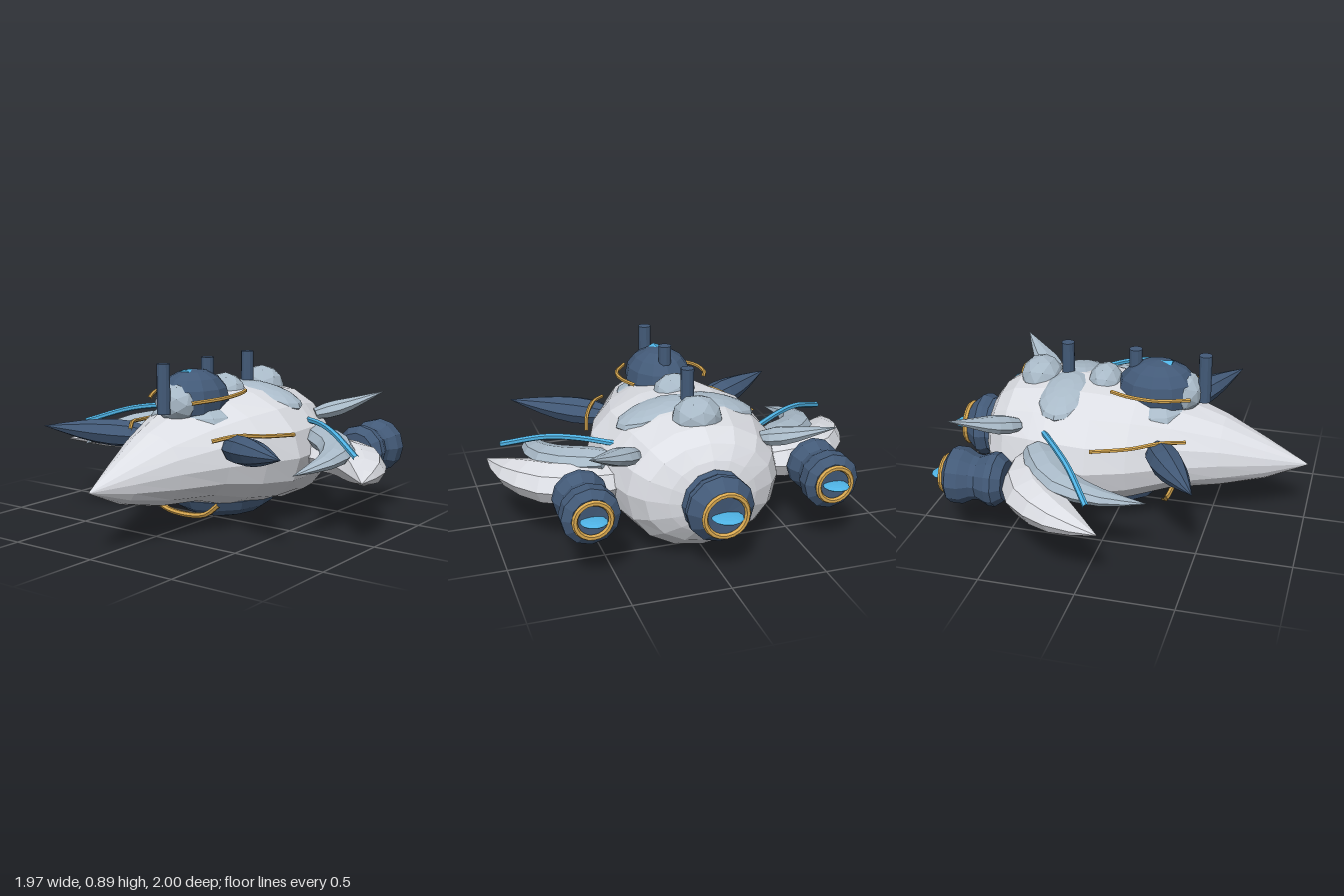
import * as THREE from 'three';

const mat = (color) => new THREE.MeshStandardMaterial({ color, flatShading: true });
const V = (p) => new THREE.Vector3(...p);

export function createModel() {
  const model = new THREE.Group();
  const grey = mat(0xdcdee4), pale = mat(0xa9bac8), dark = mat(0x435a78);
  const gold = mat(0xd8a850), cyan = mat(0x4fb4e6);

  function add(name, geometry, material, pos = [0, 0, 0], scale = [1, 1, 1]) {
    const mesh = new THREE.Mesh(geometry, material);
    mesh.name = name;
    mesh.position.set(...pos);
    mesh.scale.set(...scale);
    model.add(mesh);
    return mesh;
  }

  // Skin over rings {c, u, v}, with u x v pointing along the loft
  function loft(rings, sides) {
    const pos = [], index = [];
    for (const { c, u, v } of rings) {
      for (let j = 0; j < sides; j++) {
        const a = (j / sides) * Math.PI * 2;
        const p = c.clone().addScaledVector(u, Math.cos(a)).addScaledVector(v, Math.sin(a));
        pos.push(p.x, p.y, p.z);
      }
    }
    const n = rings.length;
    for (let i = 0; i < n - 1; i++) {
      for (let j = 0; j < sides; j++) {
        const k = (j + 1) % sides;
        const a = i * sides + j, b = i * sides + k;
        index.push(a, b, b + sides, a, b + sides, a + sides);
      }
    }
    // end caps
    for (let j = 1; j < sides - 1; j++) {
      const e = (n - 1) * sides;
      index.push(0, j + 1, j, e, e + j, e + j + 1);
    }
    const g = new THREE.BufferGeometry();
    g.setAttribute('position', new THREE.Float32BufferAttribute(pos, 3));
    g.setIndex(index);
    g.computeVertexNormals();
    return g;
  }

  // Tapered curved blade along a path
  function blade(points, width, height, taper) {
    const curve = new THREE.CatmullRomCurve3(points.map(V));
    const rings = taper.map((f, i) => {
      const t = i / (taper.length - 1);
      const w = curve.getTangentAt(t);
      const u = new THREE.Vector3(0, 1, 0).cross(w).normalize();
      const v = w.clone().cross(u);
      return { c: curve.getPointAt(t), u: u.multiplyScalar(width * f), v: v.multiplyScalar(height * f) };
    });
    return loft(rings, 8);
  }

  const tube = (points, r) =>
    new THREE.TubeGeometry(new THREE.CatmullRomCurve3(points.map(V)), 14, r, 6);
  const flip = (points, s) => points.map(([x, y, z]) => [x * s, y, z]);
  const ball = new THREE.SphereGeometry(1, 12, 8);
  const rock = new THREE.IcosahedronGeometry(1, 1);

  // Hull stations: z, half width, top, bottom, height of widest line
  const stations = [
    [-0.75, 0.13, 0.47, 0.23, 0.35],
    [-0.72, 0.23, 0.56, 0.17, 0.36],
    [-0.67, 0.335, 0.63, 0.10, 0.37],
    [-0.58, 0.40, 0.69, 0.03, 0.37],
    [-0.42, 0.455, 0.72, 0.035, 0.38],
    [-0.34, 0.475, 0.73, 0.06, 0.38],
    [-0.1, 0.495, 0.73, 0.07, 0.38],
    [0.1, 0.425, 0.70, 0.1, 0.38],
    [0.3, 0.325, 0.645, 0.16, 0.38],
    [0.55, 0.21, 0.56, 0.18, 0.37],
    [0.78, 0.105, 0.45, 0.235, 0.35],
    [1, 0.002, 0.337, 0.333, 0.335],
  ];
  const SIDES = 16;
  const hull = loft(stations.map(([z, w]) => (
    { c: V([0, 0, z]), u: V([w, 0, 0]), v: V([0, 1, 0]) })), SIDES);
  // Round above the widest line, fuller below it
  const hp = hull.attributes.position;
  for (let i = 0; i < hp.count; i++) {
    const [, , top, bottom, mid] = stations[Math.floor(i / SIDES)];
    const s = hp.getY(i);
    hp.setY(i, s > 0 ? mid + s * (top - mid) : mid - Math.pow(-s, 0.93) * (mid - bottom));
  }
  hull.computeVertexNormals();
  add('hull', hull, grey);

  // Belly and top bulges
  add('keel', ball, dark, [0, 0.135, -0.11], [0.27, 0.128, 0.33]);
  add('canopy', ball, dark, [0, 0.69, 0.18], [0.18, 0.16, 0.22]);
  add('canopyBase', ball, pale, [0, 0.575, 0.19], [0.25, 0.1, 0.18]);
  add('canopyNose', rock, pale, [0, 0.685, 0.315], [0.125, 0.11, 0.11]);
  add('canopyLight', new THREE.ConeGeometry(0.035, 0.08, 4), cyan, [0, 0.843, 0.215], [1, 1, 0.4])
    .rotation.x = -Math.PI / 2 + 0.12;
  add('middleDome', rock, pale, [0, 0.69, -0.11], [0.12, 0.11, 0.095]);
  add('rearDome', rock, pale, [0, 0.69, -0.47], [0.13, 0.115, 0.115]);

  // Masts
  for (const z of [0.43, 0.055, -0.32]) {
    add('mast', new THREE.CylinderGeometry(0.035, 0.035, 0.26, 12), dark, [0, 0.77, z]);
  }

  add('chinTrim', tube([[-0.225, 0.16, 0.26], [-0.14, 0.095, 0.26], [0, 0.075, 0.26],
    [0.14, 0.095, 0.26], [0.225, 0.16, 0.26]], 0.015), gold);

  // Engine: profile of [radius, distance behind the front], ring and glow
  function engine(name, [x, y, z], profile, ringZ, ringR, glowR) {
    const pts = profile.map(([r, d]) => new THREE.Vector2(r, d));
    add(name, new THREE.LatheGeometry(pts, 12), dark, [x, y, z]).rotation.x = -Math.PI / 2;
    add(name + 'Ring', new THREE.TorusGeometry(ringR, 0.015, 6, 20), gold, [x, y, ringZ]);
    add(name + 'Glow', ball, cyan, [x, y, ringZ - 0.015], [glowR, 0.014, glowR]);
  }
  engine('centerEngine', [0, 0.35, -0.6], [[0, 0], [0.14, 0.02], [0.17, 0.14], [0.16, 0.17],
    [0.175, 0.2], [0.175, 0.23], [0.12, 0.29], [0.1, 0.3], [0, 0.29]], -0.905, 0.11, 0.08);

  for (const s of [1, -1]) {
    const side = s > 0 ? 'left' : 'right';
    const put = (name, pts, w, h, taper, m) =>
      add(side + name, blade(flip(pts, s), w, h, taper), m);
    const rail = (name, pts, r, m) => add(side + name, tube(flip(pts, s), r), m);

    engine(side + 'Engine', [s * 0.625, 0.37, -0.465], [[0, 0], [0.105, 0], [0.14, 0.045], [0.14, 0.08],
      [0.115, 0.14], [0.12, 0.17], [0.147, 0.22], [0.147, 0.285], [0.105, 0.315], [0, 0.31]],
      -0.79, 0.09, 0.067);

    // Swept wings and fins
    put('OuterWing', [[0.38, 0.365, -0.36], [0.66, 0.36, -0.33], [0.86, 0.355, -0.13], [0.98, 0.35, 0.11]],
      0.15, 0.105, [0.8, 1, 1, 0.97, 0.88, 0.7, 0.4, 0.02], grey);
    put('InnerWing', [[0.44, 0.47, -0.36], [0.68, 0.44, -0.17], [0.74, 0.415, 0.05], [0.69, 0.38, 0.28]],
      0.1, 0.06, [0.8, 1, 1, 0.95, 0.8, 0.6, 0.35, 0.02], pale);
    put('FrontFin', [[0.27, 0.47, 0.23], [0.5, 0.485, 0.36], [0.77, 0.51, 0.52]],
      0.088, 0.075, [0.6, 0.95, 1, 0.88, 0.65, 0.35, 0.02], dark);
    put('RearHorn', [[0.34, 0.55, -0.5], [0.46, 0.59, -0.61], [0.63, 0.67, -0.765]],
      0.075, 0.045, [0.7, 1, 1, 0.8, 0.55, 0.3, 0.02], pale);

    // Trim and raised shoulder patch
    rail('WingTrim', [[0.39, 0.545, -0.34], [0.55, 0.55, -0.225], [0.7, 0.53, -0.11], [0.91, 0.455, 0.04]], 0.016, cyan);
    rail('CanopyRail', [[0.19, 0.725, -0.03], [0.23, 0.725, 0.07], [0.225, 0.715, 0.22], [0.14, 0.70, 0.38]], 0.011, gold);
    rail('SideRail', [[0.475, 0.51, -0.07], [0.42, 0.525, 0.13], [0.35, 0.54, 0.27], [0.27, 0.52, 0.385]], 0.011, gold);
    add(side + 'ShoulderPatch', ball, pale, [s * 0.17, 0.665, -0.29], [0.21, 0.055, 0.135])
      .rotation.z = -s * 0.26;
  }
  return model;
}
